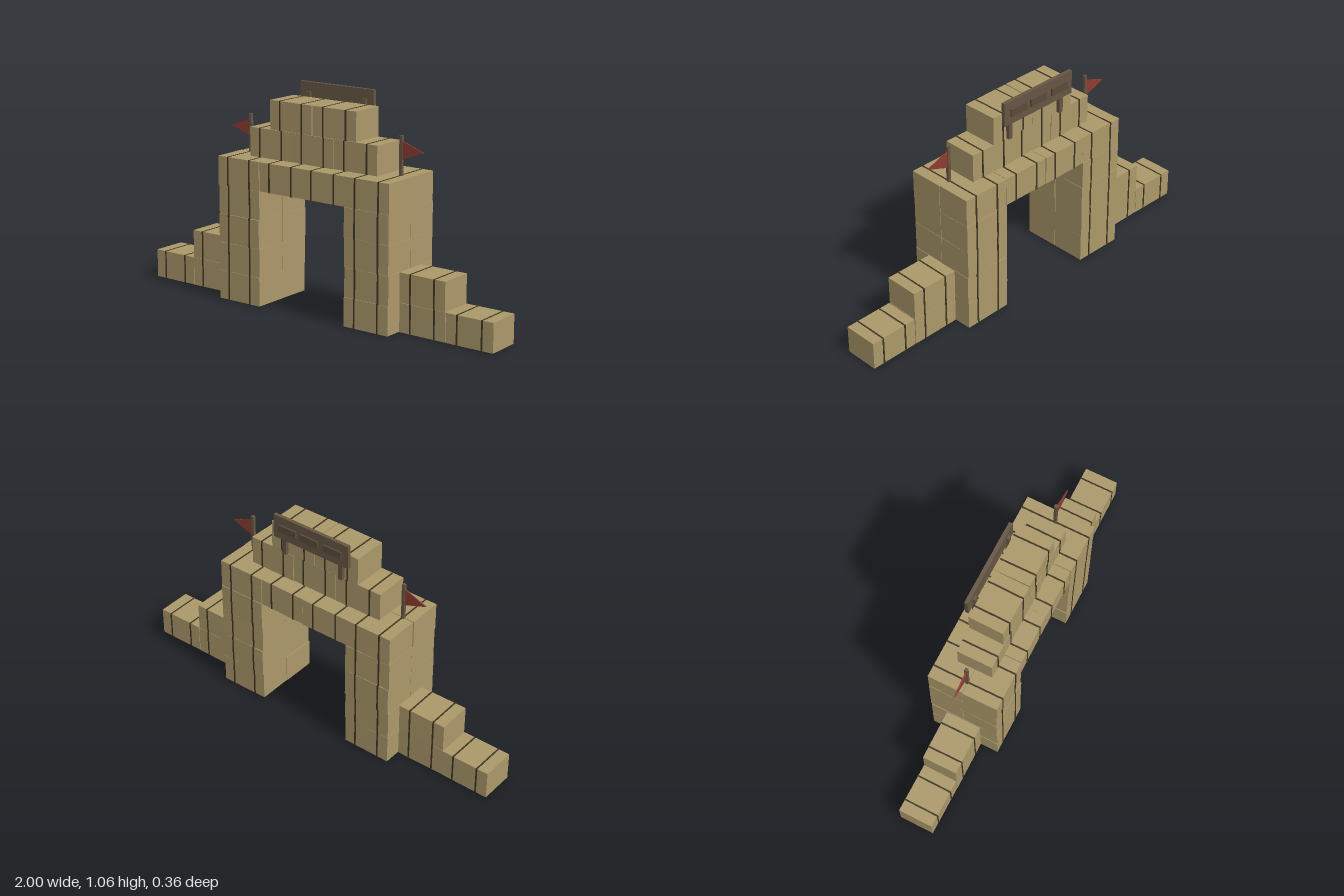
import * as THREE from 'three';

const mat = (name, color) => Object.assign(new THREE.MeshStandardMaterial({ color }), { name });

export function createModel() {
  const root = new THREE.Group();
  root.name = 'strawBaleArch';
  const straw = mat('straw', 0xab986a);
  const twine = mat('twine', 0x3f3421);
  const wood = mat('wood', 0x665643);
  const panelWood = mat('panelWood', 0x5a4b3a);
  const red = mat('flagRed', 0x8c3b30);

  const L = 0.25, H = 0.1415, D = 0.176;
  let seed = 7;
  const jitter = (a) => {
    seed = (seed * 16807) % 2147483647;
    return (seed / 2147483647 - 0.5) * 2 * a;
  };
  const box = (parent, name, w, h, d, x, y, z, m) => {
    const mesh = new THREE.Mesh(new THREE.BoxGeometry(w, h, d), m);
    mesh.name = name;
    mesh.position.set(x, y, z);
    parent.add(mesh);
    return mesh;
  };

  // One bale with two twine bands around it
  const bale = (x, row, z) => {
    const g = new THREE.Group();
    g.name = 'bale';
    box(g, 'straw', L - 0.002, H - 0.001, D - 0.002, 0, 0, 0, straw);
    for (const s of [-1, 1]) box(g, 'twineBand', 0.008, H + 0.001, D + 0.002, s * 0.065, 0, 0, twine);
    g.position.set(x + jitter(0.002), (row + 0.5) * H + 0.001, z + jitter(0.002));
    g.rotation.y = jitter(0.014);
    root.add(g);
  };

  // Towers two bales deep, with stepped wings outside
  for (const s of [-1, 1]) {
    for (let row = 0; row < 5; row++) for (const z of [-D / 2, D / 2]) bale(s * 0.375, row, z);
    bale(s * 0.625, 0, 0);
    bale(s * 0.875, 0, 0);
    bale(s * 0.625, 1, 0);
  }
  // Span between the towers, then the two upper courses
  for (const x of [-0.125, 0.125]) {
    for (const z of [-D / 2, D / 2]) bale(x, 4, z);
    bale(x, 6, 0);
  }
  for (const x of [-0.25, 0, 0.25]) bale(x, 5, 0);

  // Pennants pointing outward
  for (const s of [-1, 1]) {
    const flag = new THREE.Group();
    flag.name = 'pennant';
    box(flag, 'pole', 0.015, 0.185, 0.015, 0, 0.0925, 0, wood);
    const shape = new THREE.Shape([
      new THREE.Vector2(0, 0.072), new THREE.Vector2(0.122, 0.117), new THREE.Vector2(0, 0.162),
    ]);
    const geo = new THREE.ExtrudeGeometry(shape, { depth: 0.006, bevelEnabled: false });
    geo.translate(0, 0, -0.003);
    const cloth = new THREE.Mesh(geo, red);
    cloth.name = 'cloth';
    if (s < 0) cloth.rotation.y = Math.PI;
    flag.add(cloth);
    flag.position.set(s * 0.442, 0.708, 0);
    root.add(flag);
  }

  // Sign board behind the top course, with raised panels on its back
  const sign = new THREE.Group();
  sign.name = 'sign';
  box(sign, 'board', 0.43, 0.118, 0.018, -0.005, 1.001, -0.113, wood);
  for (const x of [-0.165, 0.16]) box(sign, 'post', 0.022, 0.16, 0.018, x, 0.935, -0.101, wood);
  for (const x of [-0.135, 0, 0.125]) box(sign, 'panel', 0.1, 0.036, 0.009, x, 1.001, -0.1265, panelWood);
  root.add(sign);

  return root;
}
